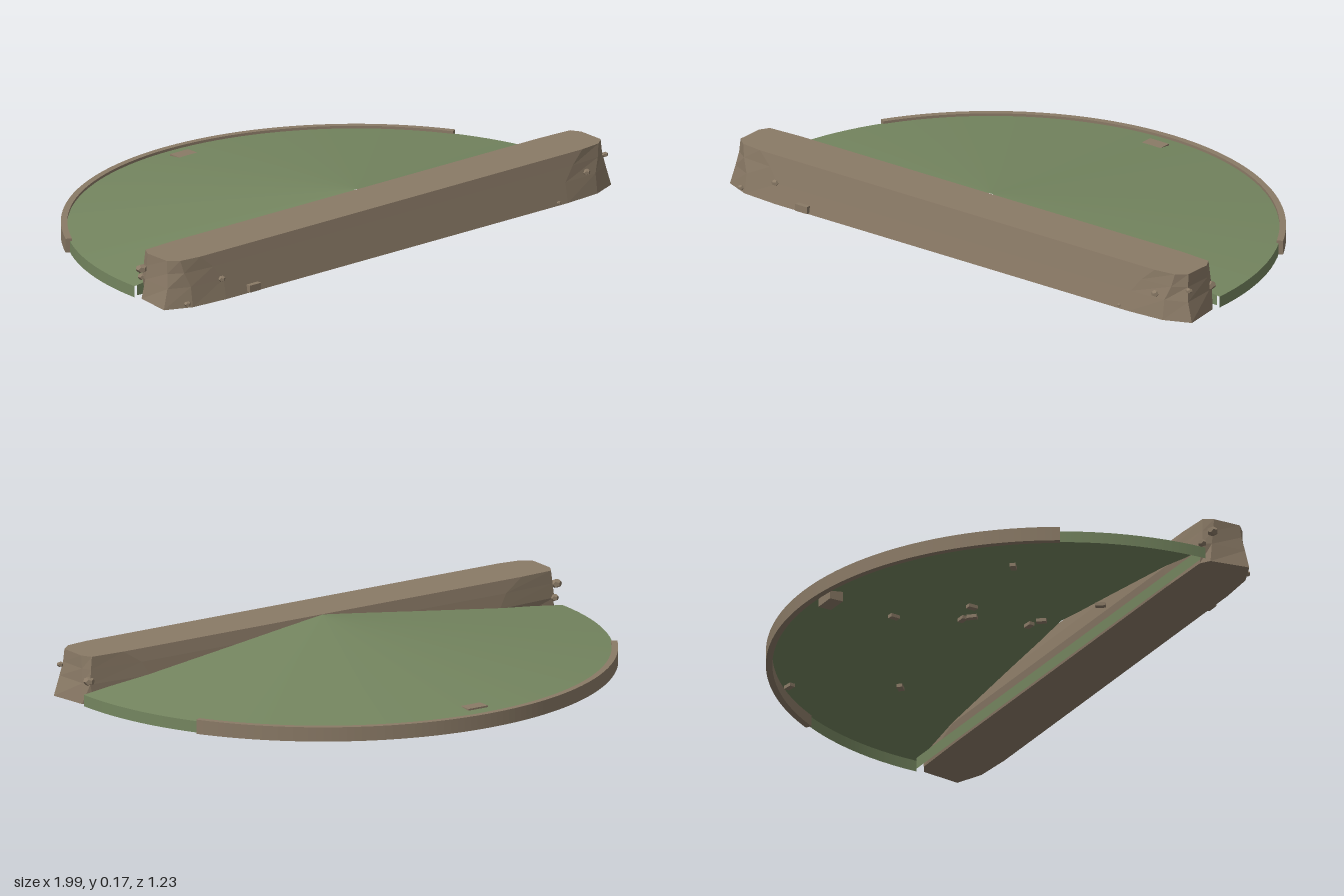
import * as THREE from 'three';

const brown = new THREE.MeshStandardMaterial({ color: 0x8a7a66 });
const brownFlat = new THREE.MeshStandardMaterial({ color: 0x8a7a66, flatShading: true });
const green = new THREE.MeshStandardMaterial({ color: 0x74855f, side: THREE.DoubleSide });

const CENTER_Z = 0.385, RADIUS = 0.985, RIM = 0.04, APEX = 0.165;

function add(group, name, geometry, material, x = 0, y = 0, z = 0) {
  const mesh = new THREE.Mesh(geometry, material);
  mesh.name = name;
  mesh.position.set(x, y, z);
  group.add(mesh);
  return mesh;
}

// Faceted bank lofted from half outlines (front to back), mirrored across x
function bankGeometry() {
  const levels = [
    { y: 0, half: [[0.76, 0.6], [0.9, 0.59], [0.995, 0.55], [0.975, 0.41], [0.94, 0.388], [0.72, 0.384]] },
    { y: 0.07, half: [[0.76, 0.587], [0.9, 0.58], [0.975, 0.545], [0.967, 0.42], [0.955, 0.39], [0.72, 0.374]] },
    { y: 0.12, half: [[0.8, 0.578], [0.92, 0.568], [0.967, 0.535], [0.965, 0.425], [0.95, 0.393], [0.75, 0.38]] },
    { y: APEX, half: [[0.85, 0.57], [0.93, 0.56], [0.965, 0.53], [0.965, 0.43], [0.945, 0.395], [0.82, 0.388]] },
  ];
  const positions = [], index = [];
  for (const { y, half } of levels) {
    const ring = [...half, ...half.slice().reverse().map(([x, z]) => [-x, z])];
    for (const [x, z] of ring) positions.push(x, y, z);
  }
  const n = 12, top = (levels.length - 1) * n;
  for (let l = 0; l < levels.length - 1; l++) {
    for (let i = 0; i < n; i++) {
      const a = l * n + i, b = l * n + (i + 1) % n;
      index.push(a, b, b + n, a, b + n, a + n);
    }
  }
  for (let i = 1; i < n - 1; i++) {
    index.push(top, top + i, top + i + 1, 0, i + 1, i);
  }
  const g = new THREE.BufferGeometry();
  g.setAttribute('position', new THREE.Float32BufferAttribute(positions, 3));
  g.setIndex(index);
  g.computeVertexNormals();
  return g;
}

// Curb covering the middle 120 degrees of the rim
function curbGeometry() {
  const s = new THREE.Shape();
  s.absarc(0, 0, 1.0, Math.PI / 6, Math.PI * 5 / 6, false);
  s.absarc(0, 0, 0.978, Math.PI * 5 / 6, Math.PI / 6, true);
  const g = new THREE.ExtrudeGeometry(s, { depth: 0.05, bevelEnabled: false, curveSegments: 40 });
  return g.rotateX(-Math.PI / 2);
}

export function createModel() {
  const model = new THREE.Group();
  model.name = 'moundWithBank';

  // Half-cone mound, open underneath, with a low skirt
  add(model, 'moundSurface',
    new THREE.ConeGeometry(RADIUS, APEX - RIM, 64, 1, true, Math.PI / 2, Math.PI),
    green, 0, (APEX + RIM) / 2, CENTER_Z);
  add(model, 'moundSkirt',
    new THREE.CylinderGeometry(RADIUS, RADIUS, RIM, 64, 1, true, Math.PI / 2, Math.PI),
    green, 0, RIM / 2, CENTER_Z);
  add(model, 'frontSkirt', new THREE.PlaneGeometry(RADIUS * 1.96, RIM), green, 0, RIM / 2, 0.374);

  add(model, 'curb', curbGeometry(), brown, 0, 0, CENTER_Z);
  add(model, 'bank', bankGeometry(), brownFlat);

  // Small slab set into the mound near the rim
  add(model, 'slab', new THREE.BoxGeometry(0.08, 0.035, 0.05), brown, 0, 0.036, -0.515);

  // Stones stuck to the bank: x, y, z, radius
  const stone = new THREE.DodecahedronGeometry(1);
  [
    [-0.77, 0.072, 0.587, 0.014], [0.86, 0.083, 0.578, 0.015], [-0.98, 0.11, 0.415, 0.02],
    [0.955, 0.08, 0.398, 0.02], [-0.955, 0.07, 0.39, 0.016], [-0.92, 0.015, 0.585, 0.012],
    [0.72, 0.01, 0.598, 0.008], [0.975, 0.11, 0.54, 0.012],
  ].forEach(([x, y, z, r]) => add(model, 'bankStone', stone, brownFlat, x, y, z).scale.set(r, r * 0.8, r));
  add(model, 'bankBlock', new THREE.BoxGeometry(0.05, 0.025, 0.03), brown, -0.64, 0.017, 0.597);

  // Pebbles scattered under the mound
  [
    [-0.14, -0.08], [-0.17, -0.06], [-0.24, -0.1], [0.44, 0.01], [-0.21, 0.14],
    [-0.26, 0.16], [-0.04, -0.29], [-0.59, -0.14], [0.62, -0.32], [-0.47, 0.27],
  ].forEach(([x, z], i) => {
    add(model, 'pebble', new THREE.BoxGeometry(0.035, 0.012, 0.02), brown, x, 0.007, z).rotation.y = i * 0.8;
  });
  return model;
}
